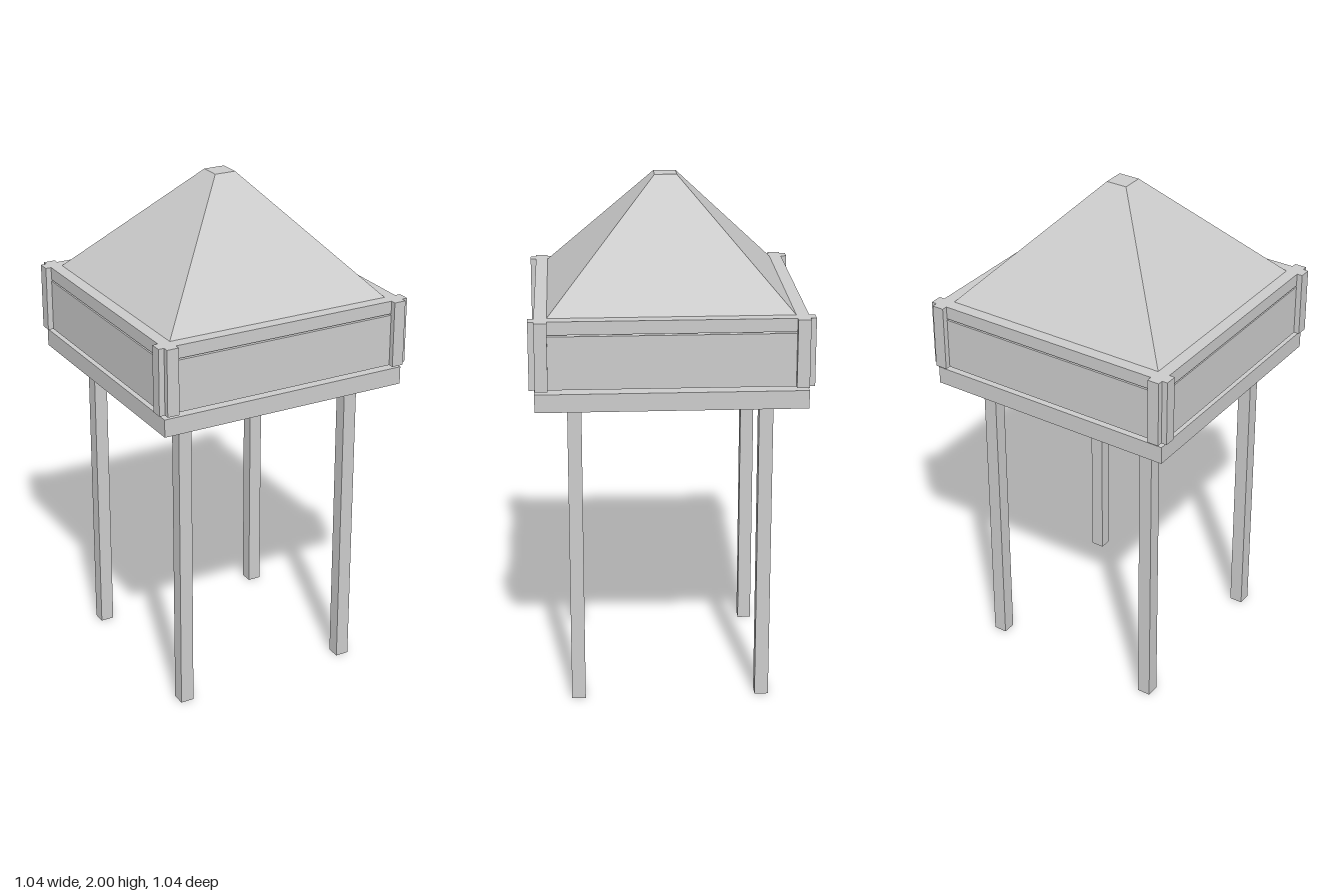
import * as THREE from 'three';

const material = new THREE.MeshStandardMaterial({ color: 0xcccccc, flatShading: true });

// Box given by its size, its centre in plan and its bottom and top heights
function block(name, width, depth, y0, y1, x = 0, z = 0) {
  const mesh = new THREE.Mesh(new THREE.BoxGeometry(width, y1 - y0, depth), material);
  mesh.name = name;
  mesh.position.set(x, (y0 + y1) / 2, z);
  return mesh;
}

export function createModel() {
  const model = new THREE.Group();
  model.name = 'raisedHut';

  const floorBottom = 1.218, floorTop = 1.287;
  const wallBottom = 1.303, wallTop = 1.56, roofTop = 2;
  const inner = 0.453, outer = 0.5, tip = 0.522;
  const wallMid = (inner + outer) / 2, wallThick = outer - inner;

  // Floor slab
  model.add(block('floor', 1.006, 1.006, floorBottom, floorTop));

  // Legs and cross-shaped corner posts
  for (const sx of [-1, 1]) {
    for (const sz of [-1, 1]) {
      model.add(block('leg', 0.053, 0.053, 0, floorBottom, sx * 0.358, sz * 0.358));

      const post = new THREE.Group();
      post.name = 'cornerPost';
      const armLength = tip - inner, armMid = (tip + inner) / 2;
      post.add(block('postArmX', armLength, wallThick, wallBottom, wallTop, sx * armMid, sz * wallMid));
      post.add(block('postArmZ', wallThick, armLength, wallBottom, wallTop, sx * wallMid, sz * armMid));
      model.add(post);
    }
  }

  // Four walls, each a panel with a thin slot below its top beam
  for (let i = 0; i < 4; i++) {
    const wall = new THREE.Group();
    wall.name = 'wall';
    wall.add(block('wallPanel', inner * 2, wallThick, wallBottom, 1.504, 0, wallMid));
    wall.add(block('topBeam', inner * 2, wallThick, 1.51, wallTop, 0, wallMid));
    wall.rotation.y = i * Math.PI / 2;
    model.add(wall);
  }

  // Truncated pyramid roof
  const roofGeometry = new THREE.CylinderGeometry(
    0.042 * Math.SQRT2, inner * Math.SQRT2, roofTop - wallTop, 4);
  roofGeometry.rotateY(Math.PI / 4);
  const roof = new THREE.Mesh(roofGeometry, material);
  roof.name = 'roof';
  roof.position.y = (wallTop + roofTop) / 2;
  model.add(roof);

  return model;
}
